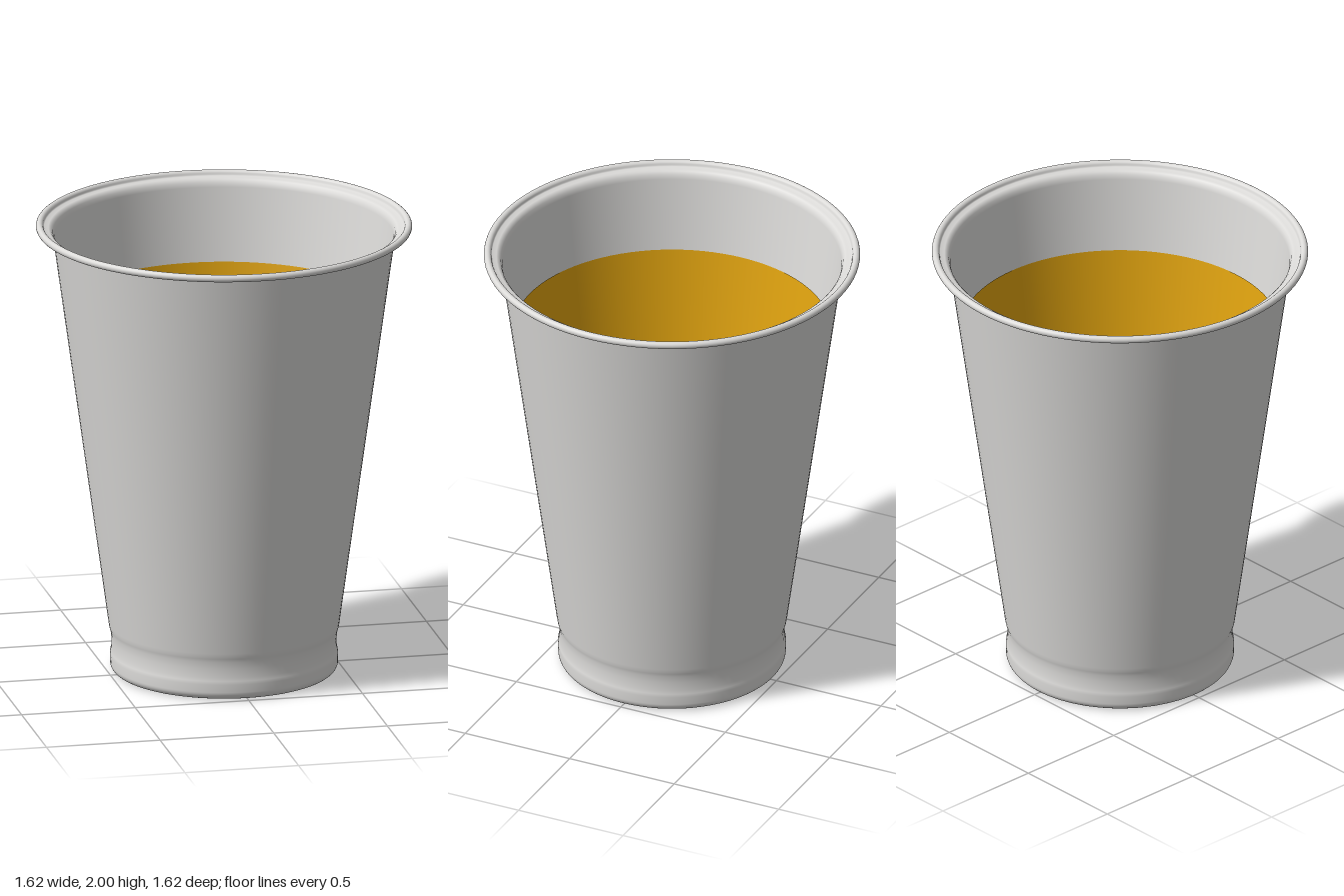
import * as THREE from 'three';

const SEGMENTS = 96;
const v = (x, y) => new THREE.Vector2(x, y);

// Arc of profile points, angles in degrees
function arc(cx, cy, r, from, to, steps = 8) {
  return Array.from({ length: steps + 1 }, (_, i) => {
    const a = THREE.MathUtils.degToRad(from + ((to - from) * i) / steps);
    return v(cx + r * Math.cos(a), cy + r * Math.sin(a));
  });
}

function lathe(name, points, material) {
  const mesh = new THREE.Mesh(new THREE.LatheGeometry(points, SEGMENTS), material);
  mesh.name = name;
  return mesh;
}

// Radius of the tapered outer wall at a height
const wallRadius = (y) => 0.495 + ((y - 0.2) * 0.245) / 1.77;

export function createModel() {
  const plastic = new THREE.MeshStandardMaterial({ color: 0xdbdad8 });
  const amber = new THREE.MeshStandardMaterial({ color: 0xe0a30f });
  plastic.name = 'pale grey plastic';
  amber.name = 'amber';

  const cup = new THREE.Group();
  cup.name = 'cup';

  // Outside: raised floor, rounded foot, waisted band and tapered wall
  const outside = [
    v(0, 0.045), v(0.38, 0.045), v(0.41, 0.04), v(0.425, 0.025), v(0.432, 0.01),
    v(0.44, 0.002), v(0.45, 0),
    ...arc(0.455, 0.035, 0.035, -85, 0),
    v(0.491, 0.07), v(0.489, 0.085), v(0.485, 0.1), v(0.484, 0.14),
    v(0.487, 0.17), v(0.491, 0.185), v(0.494, 0.195),
    v(wallRadius(0.21), 0.21), v(wallRadius(1.1), 1.1), v(wallRadius(1.96), 1.96),
    v(0.741, 1.967),
  ];

  // Rolled rim and the shoulder inside it
  const rim = [
    v(0.744, 1.968), v(0.785, 1.968),
    ...arc(0.793, 1.984, 0.016, -90, 180, 14),
    v(0.774, 1.978), v(0.755, 1.976), v(0.745, 1.971), v(0.736, 1.96),
  ];

  // Inside of the wall, down to the floor
  const inside = [
    v(wallRadius(1.94) - 0.006, 1.94), v(wallRadius(1.1) - 0.006, 1.1),
    v(wallRadius(0.2) - 0.006, 0.2), v(0.478, 0.14), v(0.48, 0.06),
    v(0.455, 0.01), v(0.43, 0.03), v(0.38, 0.052), v(0, 0.052),
  ];
  cup.add(lathe('cupBody', [...outside, ...rim, ...inside], plastic));

  // Coloured filling surface against the wall and over the floor, facing inward
  const lining = [
    v(wallRadius(1.62) - 0.011, 1.62), v(wallRadius(1.1) - 0.011, 1.1),
    v(wallRadius(0.22) - 0.011, 0.22), v(0.482, 0.195), v(0.476, 0.17),
    v(0.473, 0.14), v(0.474, 0.06), v(0.468, 0.03), v(0.455, 0.018),
    v(0.442, 0.021), v(0.432, 0.035), v(0.415, 0.052), v(0.38, 0.06), v(0, 0.06),
  ];
  cup.add(lathe('filling', lining, amber));

  return cup;
}
